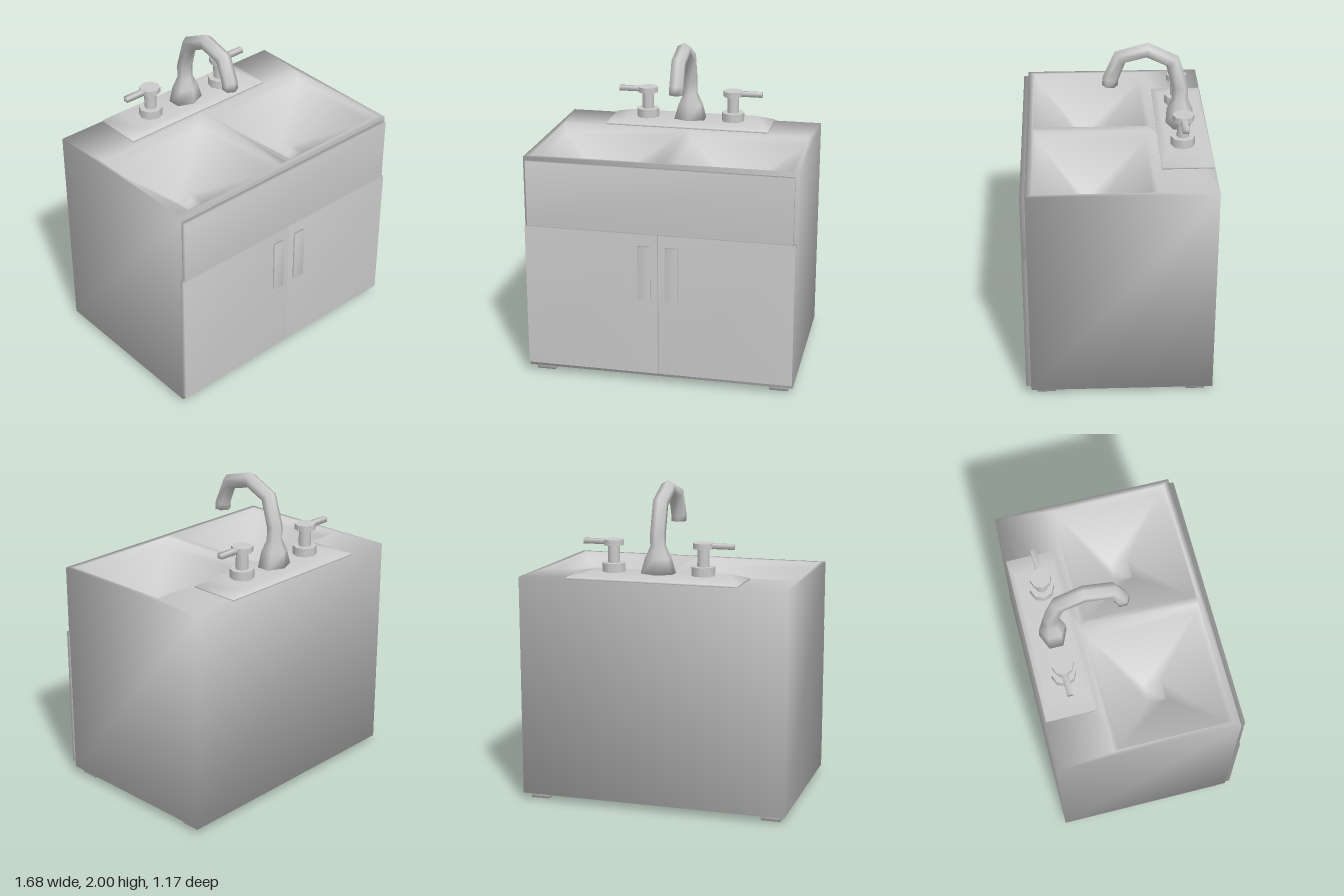
import * as THREE from 'three';
import { mergeVertices, mergeGeometries } from 'three/addons/utils/BufferGeometryUtils.js';

const grey = new THREE.MeshStandardMaterial({ color: 0xcccccc });

// Skin a list of rings (arrays of [x, y, z]) with optional end caps
function loft(rings, capStart = true, capEnd = true) {
  const n = rings[0].length, index = [];
  for (let r = 0; r < rings.length - 1; r++) {
    for (let i = 0; i < n; i++) {
      const a = r * n + i, b = r * n + (i + 1) % n;
      index.push(a, b, b + n, a, b + n, a + n);
    }
  }
  const last = (rings.length - 1) * n;
  for (let i = 1; i < n - 1; i++) {
    if (capStart) index.push(0, i + 1, i);
    if (capEnd) index.push(last, last + i, last + i + 1);
  }
  const g = new THREE.BufferGeometry();
  g.setAttribute('position', new THREE.Float32BufferAttribute(rings.flat(2), 3));
  g.setIndex(index);
  g.computeVertexNormals();
  return g;
}

// Horizontal rectangle, counter-clockwise from above
const rect = (x0, x1, z0, z1, y) => [[x0, y, z1], [x1, y, z1], [x1, y, z0], [x0, y, z0]];

// Box with soft shared normals
const softBox = (x0, x1, y0, y1, z0, z1) =>
  loft([rect(x0, x1, z0, z1, y0), rect(x0, x1, z0, z1, y1)]);

function add(parent, name, geometry) {
  const mesh = new THREE.Mesh(geometry, grey);
  mesh.name = name;
  parent.add(mesh);
  return mesh;
}

// Cabinet shell and the two sunken basins as one welded surface
function cabinetGeometry() {
  const X = 0.84, Z0 = -0.585, Z1 = 0.54, top = 1.42;
  const shell = loft([rect(-X, X, Z0, Z1, 0.04), rect(-X, X, Z0, Z1, top)], true, false);

  const deck = new THREE.Shape([[-X, -Z1], [X, -Z1], [X, -Z0], [-X, -Z0]].map(p => new THREE.Vector2(...p)));
  const basins = [-1, 1].map(s => {
    const ring = (a, b, z0, z1, y) => rect(Math.min(s * a, s * b), Math.max(s * a, s * b), z0, z1, y);
    const rim = ring(0.025, 0.805, -0.23, 0.5, top);
    deck.holes.push(new THREE.Path(rim.map(([x, , z]) => new THREE.Vector2(x, -z))));
    return loft([
      rim,
      ring(0.06, 0.785, -0.2, 0.475, 1.37),
      ring(0.362, 0.48, 0.07, 0.185, 1.13),
      ring(0.362, 0.48, 0.07, 0.185, 1.08),
    ], false, true);
  });
  const deckGeo = new THREE.ShapeGeometry(deck).rotateX(-Math.PI / 2).translate(0, top, 0);

  const parts = [shell, deckGeo, ...basins];
  parts.forEach(g => { g.deleteAttribute('normal'); g.deleteAttribute('uv'); });
  const welded = mergeVertices(mergeGeometries(parts), 1e-4);
  welded.computeVertexNormals();
  return welded;
}

// Hexagonal gooseneck; each station is [y, z, tangentY, tangentZ, halfWidth, radius]
function spoutGeometry() {
  const w = 0.042, r = 0.049;
  const hex = [[1, -0.5], [1, 0.5], [0, 1], [-1, 0.5], [-1, -0.5], [0, -1]];
  const stations = [
    [1.45, -0.41, 1, 0, 0.1, 0.085],
    [1.55, -0.41, 1, 0, 0.072, 0.08],
    [1.62, -0.41, 1, 0, 0.042, 0.05],
    [1.70, -0.412, 0.99, 0.13, w, r],
    [1.875, -0.36, 0.77, 0.64, w, r],
    [1.95, -0.206, 0.08, 1, w, r],
    [1.905, -0.04, -0.65, 0.76, w, r],
    [1.765, 0.018, -0.98, 0.2, w, r],
    [1.72, 0.02, -1, 0, w, r],
  ];
  return loft(stations.map(([y, z, ty, tz, hw, rad]) =>
    hex.map(([u, v]) => [u * hw, y + v * rad * tz, z - v * rad * ty])));
}

// Tap with round base, stem, cap and a lever pointing outwards
function makeTap(side) {
  const tap = new THREE.Group();
  tap.name = side > 0 ? 'leftTap' : 'rightTap';
  const disc = (name, radius, y0, y1) => add(tap, name,
    new THREE.CylinderGeometry(radius, radius, y1 - y0, 8).translate(0, (y0 + y1) / 2, 0));
  disc('tapBase', 0.074, 1.45, 1.51);
  disc('tapStem', 0.038, 1.51, 1.62);
  disc('tapCap', 0.065, 1.617, 1.652);
  add(tap, 'tapLever', softBox(Math.min(0, side * 0.19), Math.max(0, side * 0.19), 1.62, 1.65, -0.018, 0.018));
  tap.position.set(side * 0.283, 0, -0.41);
  return tap;
}

export function createModel() {
  const model = new THREE.Group();
  model.name = 'sinkCabinet';

  add(model, 'cabinet', cabinetGeometry());
  add(model, 'frontPanel', softBox(-0.82, 0.82, 0.99, 1.4, 0.535, 0.57));

  // Doors with pulls beside the centre gap
  for (const s of [-1, 1]) {
    const side = s > 0 ? 'left' : 'right';
    const span = (a, b) => [Math.min(s * a, s * b), Math.max(s * a, s * b)];
    add(model, side + 'Door', softBox(...span(0.003, 0.836), 0.07, 0.983, 0.535, 0.57));
    add(model, side + 'DoorPull', softBox(...span(0.046, 0.123), 0.56, 0.91, 0.565, 0.585));
    for (const [end, z] of [['Front', 0.445], ['Back', -0.48]]) {
      add(model, side + end + 'Foot', softBox(...span(0.687, 0.805), 0, 0.045, z - 0.058, z + 0.058));
    }
    model.add(makeTap(s));
  }

  // Bevelled mounting plate and spout
  add(model, 'faucetPlate', loft([
    rect(-0.535, 0.535, -0.58, -0.268, 1.415),
    rect(-0.535, 0.535, -0.58, -0.268, 1.43),
    rect(-0.42, 0.42, -0.55, -0.305, 1.455),
  ]));
  add(model, 'spout', spoutGeometry());

  return model;
}
